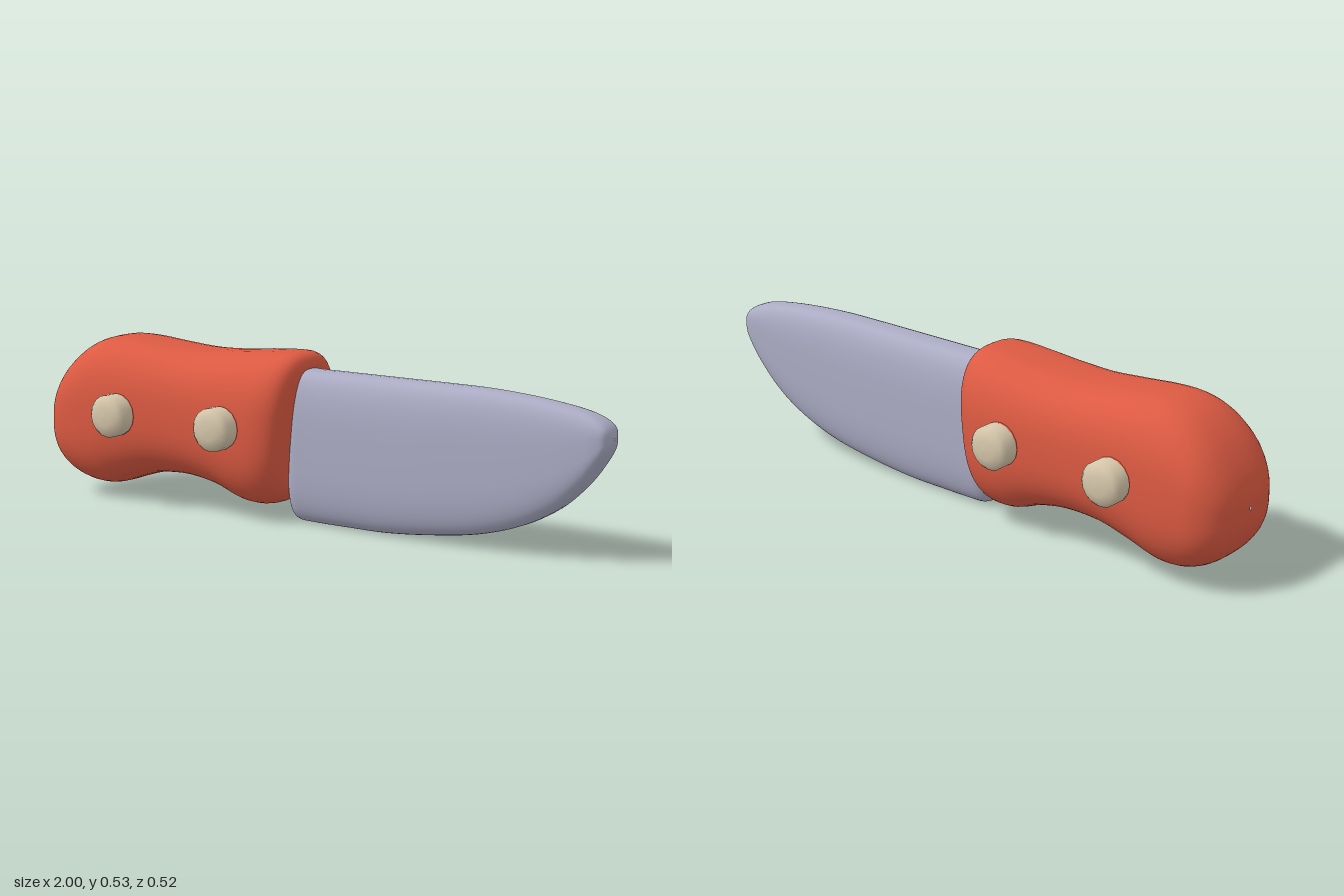
import * as THREE from 'three';

const material = (name, color, extra = {}) => {
  const m = new THREE.MeshStandardMaterial({ color, ...extra });
  m.name = name;
  return m;
};

// Smooth curve through four neighbouring station values
const spline = (a, b, c, d, t) => {
  const v0 = (c - a) / 2, v1 = (d - b) / 2;
  return (2 * b - 2 * c + v0 + v1) * t ** 3 + (-3 * b + 3 * c - 2 * v0 - v1) * t * t + v0 * t + b;
};

// Loft of rounded cross-sections along x; station = [x, bottom, top, half depth]
function loft(stations, power, bend = x => x, sides = 48, steps = 5) {
  const rows = [];
  const last = stations.length - 1;
  for (let s = 0; s < last; s++) {
    for (let k = 0; k < steps; k++) {
      rows.push(stations[s].map((_, c) => spline(
        stations[Math.max(s - 1, 0)][c], stations[s][c],
        stations[s + 1][c], stations[Math.min(s + 2, last)][c], k / steps)));
    }
  }
  rows.push(stations[last]);

  const positions = [], index = [];
  const round = v => Math.sign(v) * Math.abs(v) ** (2 / power);
  rows.forEach(([x, bottom, top, depth], r) => {
    for (let i = 0; i < sides; i++) {
      const a = i / sides * Math.PI * 2;
      const y = (top + bottom) / 2 + (top - bottom) / 2 * round(Math.sin(a));
      positions.push(bend(x, y), y, depth * round(Math.cos(a)));
      if (r < rows.length - 1) {
        const p = r * sides + i, q = r * sides + (i + 1) % sides;
        index.push(p, p + sides, q, q, p + sides, q + sides);
      }
    }
  });
  const geometry = new THREE.BufferGeometry();
  geometry.setAttribute('position', new THREE.Float32BufferAttribute(positions, 3));
  geometry.setIndex(index);
  geometry.computeVertexNormals();
  return geometry;
}

export function createModel() {
  const group = new THREE.Group();
  const red = material('handle red', 0xdc5a42);
  const grey = material('blade grey', 0xabacc4);
  const tan = material('rivet tan', 0xd6c7ab);

  const add = (name, geometry, mat) => {
    const mesh = new THREE.Mesh(geometry, mat);
    mesh.name = name;
    group.add(mesh);
    return mesh;
  };

  // Handle: two bulges with a waist, front end leaning with height
  add('handle', loft([
    [-1.0, 0.245, 0.255, 0.004],
    [-0.995, 0.19, 0.30, 0.08],
    [-0.97, 0.125, 0.365, 0.14],
    [-0.92, 0.075, 0.44, 0.177],
    [-0.85, 0.045, 0.50, 0.189],
    [-0.77, 0.042, 0.528, 0.192],
    [-0.68, 0.07, 0.53, 0.191],
    [-0.57, 0.10, 0.52, 0.19],
    [-0.44, 0.105, 0.511, 0.188],
    [-0.32, 0.085, 0.515, 0.19],
    [-0.22, 0.052, 0.525, 0.191],
    [-0.14, 0.047, 0.531, 0.188],
    [-0.09, 0.062, 0.528, 0.173],
    [-0.063, 0.09, 0.505, 0.145],
    [-0.055, 0.14, 0.46, 0.10],
    [-0.054, 0.285, 0.295, 0.004],
  ], 2.7, (x, y) => x + 0.11 * (y - 0.29) * THREE.MathUtils.smoothstep(x, -0.4, -0.06)), red);

  // Blade: straight spine, belly sweeping up to a blunt tip
  add('blade', loft([
    [-0.084, 0.23, 0.24, 0.004],
    [-0.083, 0.05, 0.43, 0.05],
    [-0.075, 0.02, 0.465, 0.07],
    [-0.05, 0.007, 0.48, 0.083],
    [0.0, 0.004, 0.48, 0.083],
    [0.12, 0.004, 0.48, 0.083],
    [0.26, 0.006, 0.48, 0.082],
    [0.42, 0.021, 0.48, 0.080],
    [0.58, 0.046, 0.479, 0.075],
    [0.72, 0.09, 0.471, 0.070],
    [0.83, 0.15, 0.459, 0.065],
    [0.91, 0.222, 0.445, 0.060],
    [0.96, 0.287, 0.428, 0.055],
    [0.988, 0.335, 0.406, 0.042],
    [1.0, 0.37, 0.376, 0.003],
  ], 3.2), grey);

  // Rivets: chamfered pegs on red stubs, mirrored on both sides
  const profile = [[0.068, 0.195], [0.068, 0.238], [0.055, 0.252], [0.03, 0.259], [0, 0.26]]
    .map(([r, y]) => new THREE.Vector2(r, y));
  const cap = new THREE.LatheGeometry(profile, 16);
  const stub = new THREE.CylinderGeometry(0.067, 0.067, 0.06, 16, 1, true).translate(0, 0.173, 0);
  for (const x of [-0.655, -0.245]) {
    for (const side of [1, -1]) {
      for (const [name, geometry, mat] of [['rivet', cap, tan], ['rivetStub', stub, red]]) {
        const mesh = add(name, geometry, mat);
        mesh.position.set(x, 0.302, 0);
        mesh.rotation.x = side * Math.PI / 2;
      }
    }
  }
  return group;
}
